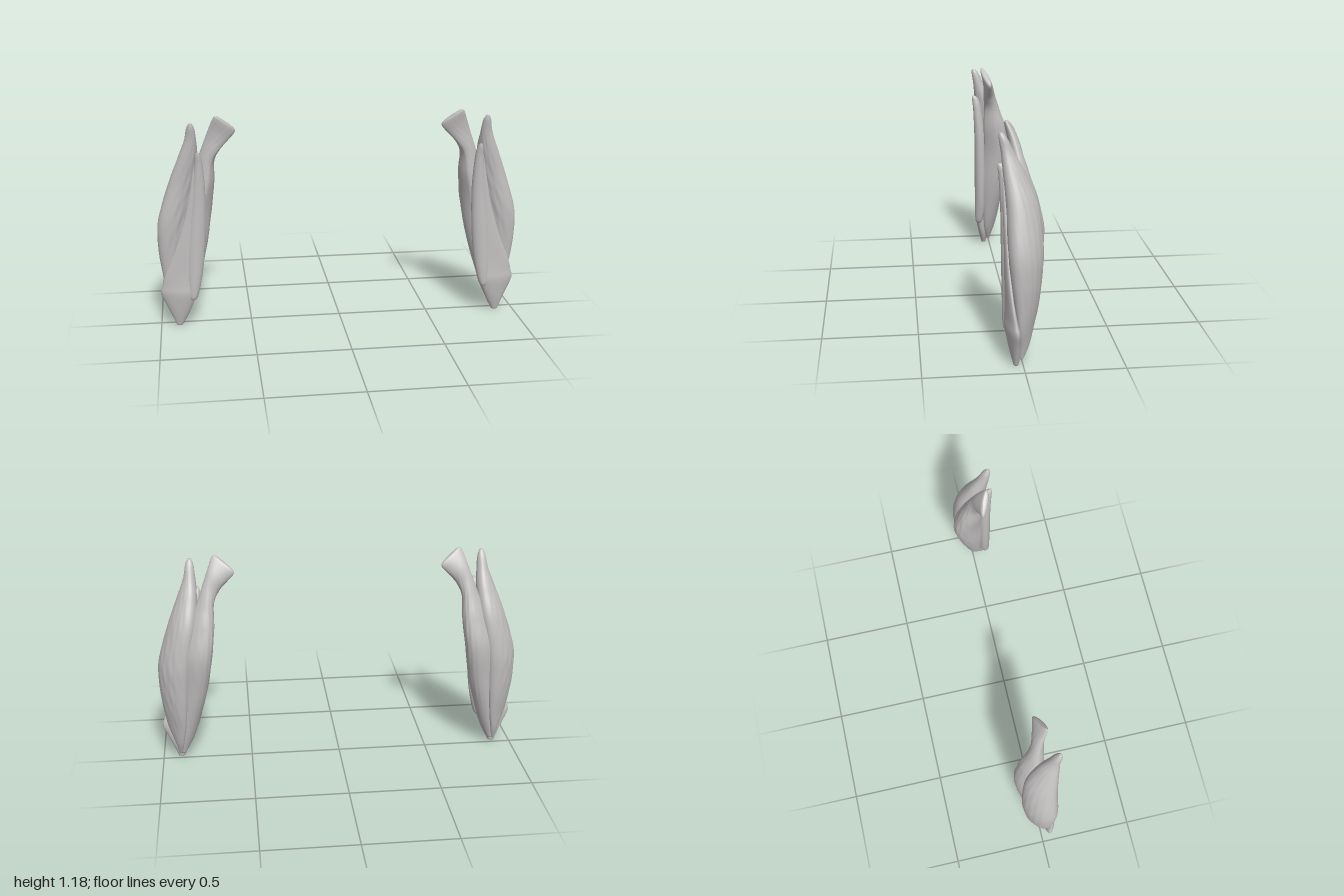
import * as THREE from 'three';

// Every row is one cross-section, from bottom to top:
// [y, x and z of chord start, x and z of chord end, bulge, opposite bulge, tilt]
const PARTS = {
  // outer belly, chord runs from the back edge to the outer front edge
  outerMuscle: { fibre: 0.035, rows: [
    [0.03, 0.895, 0, 0.905, 0.015, 0.01, 0.008, 0],
    [0.1, 0.883, -0.028, 0.925, 0.015, 0.018, 0.015, 0],
    [0.2, 0.867, -0.052, 0.96, 0.022, 0.025, 0.03, 0],
    [0.32, 0.855, -0.07, 0.978, 0.033, 0.043, 0.05, 0],
    [0.45, 0.845, -0.08, 0.988, 0.045, 0.058, 0.065, 0],
    [0.6, 0.832, -0.088, 0.98, 0.055, 0.064, 0.08, 0],
    [0.8, 0.8, -0.072, 0.918, 0.062, 0.058, 0.076, 0],
    [0.95, 0.785, -0.015, 0.863, 0.077, 0.042, 0.056, 0],
    [1.05, 0.787, 0.035, 0.826, 0.09, 0.027, 0.037, 0],
    [1.12, 0.79, 0.067, 0.806, 0.106, 0.024, 0.02, 0],
    [1.15, 0.795, 0.088, 0.802, 0.106, 0.009, 0.008, 0],
  ] },
  // inner belly ending in a flared, slanted tendon at the top
  innerMuscle: { fibre: 0.025, rows: [
    [0.03, 0.875, 0.015, 0.895, 0, 0.012, 0.01, 0],
    [0.12, 0.83, 0.03, 0.88, -0.025, 0.024, 0.02, 0],
    [0.24, 0.798, 0.035, 0.875, -0.042, 0.048, 0.03, 0],
    [0.43, 0.765, 0.04, 0.865, -0.058, 0.09, 0.035, 0],
    [0.64, 0.74, 0.03, 0.85, -0.073, 0.114, 0.04, 0],
    [0.8, 0.71, 0.035, 0.81, -0.05, 0.095, 0.035, 0],
    [0.92, 0.693, 0.032, 0.768, -0.022, 0.062, 0.03, 0.1],
    [1.0, 0.65, 0.03, 0.738, 0, 0.04, 0.028, 0.3],
    [1.07, 0.602, 0.02, 0.706, 0.03, 0.032, 0.024, 0.6],
    [1.13, 0.563, 0.015, 0.676, 0.06, 0.02, 0.018, 0.75],
    [1.15, 0.587, 0.025, 0.658, 0.056, 0.008, 0.008, 0.75],
  ] },
  // slim column on the front
  middleMuscle: { fibre: 0, rows: [
    [0.155, 0.808, 0.07, 0.83, 0.07, 0.012, 0.012, 0],
    [0.18, 0.792, 0.066, 0.842, 0.068, 0.02, 0.024, 0],
    [0.25, 0.774, 0.06, 0.848, 0.065, 0.03, 0.031, 0],
    [0.35, 0.756, 0.058, 0.85, 0.062, 0.03, 0.034, 0],
    [0.5, 0.742, 0.06, 0.838, 0.062, 0.035, 0.035, 0],
    [0.72, 0.733, 0.065, 0.812, 0.066, 0.035, 0.031, 0],
    [0.9, 0.74, 0.08, 0.79, 0.08, 0.028, 0.023, 0],
    [0.97, 0.75, 0.09, 0.783, 0.09, 0.02, 0.02, 0],
    [0.992, 0.76, 0.1, 0.774, 0.1, 0.008, 0.01, 0],
  ] },
  // flat sheet that widens to a corner and narrows to the foot
  frontTendon: { fibre: 0, rows: [
    [0, 0.882, 0.035, 0.916, 0.035, 0.014, 0.012, 0],
    [0.06, 0.85, 0.045, 0.94, 0.035, 0.028, 0.022, 0],
    [0.12, 0.826, 0.06, 0.966, 0.035, 0.03, 0.025, 0],
    [0.19, 0.803, 0.073, 0.994, 0.034, 0.028, 0.028, 0],
    [0.24, 0.8, 0.075, 0.983, 0.042, 0.025, 0.022, 0],
    [0.31, 0.795, 0.075, 0.963, 0.052, 0.022, 0.017, 0],
    [0.45, 0.79, 0.075, 0.905, 0.065, 0.022, 0.014, 0],
    [0.64, 0.785, 0.075, 0.845, 0.072, 0.02, 0.012, 0],
    [0.85, 0.77, 0.08, 0.803, 0.08, 0.012, 0.01, 0],
    [0.95, 0.77, 0.083, 0.785, 0.083, 0.006, 0.006, 0],
  ] },
};

// smooth blend of the rows at position t (in row units)
function sampleRow(rows, t) {
  const i = Math.min(Math.floor(t), rows.length - 2);
  const f = t - i;
  const row = (k) => rows[THREE.MathUtils.clamp(k, 0, rows.length - 1)];
  const [a, b, c, d] = [row(i - 1), row(i), row(i + 1), row(i + 2)];
  return b.map((v, k) => v + 0.5 * f * (c[k] - a[k]
    + f * (2 * a[k] - 5 * v + 4 * c[k] - d[k] + f * (3 * (v - c[k]) + d[k] - a[k]))));
}

// closed, smooth skin over the rows; side is 1 or -1 for the mirrored copy
function loft({ rows, fibre }, side) {
  const N = 72, STEPS = (rows.length - 1) * 8;
  const pos = [], idx = [];
  const tri = (a, b, c) => (side > 0 ? idx.push(a, b, c) : idx.push(a, c, b));
  for (let s = 0; s <= STEPS; s++) {
    const [y, px, pz, qx, qz, bulge, back, tilt] = sampleRow(rows, s / 8);
    const mx = (px + qx) / 2, mz = (pz + qz) / 2;
    const hx = (qx - px) / 2, hz = (qz - pz) / 2, len = Math.hypot(hx, hz);
    const fade = Math.sin(Math.PI * s / STEPS);
    for (let j = 0; j < N; j++) {
      const th = (j / N) * Math.PI * 2, c = Math.cos(th), sn = Math.sin(th);
      // fine slanted fibre ripples
      const r = 1 + fibre * fade * Math.sin(14 * th + 24 * y) * Math.sin(3 * th - 17 * y);
      const w = sn * (sn > 0 ? bulge : back) * r / len;
      const x = mx + hx * c + hz * w, z = mz + hz * c - hx * w;
      pos.push(side * x, y + tilt * (x - mx), z);
      if (s < STEPS) {
        const a = s * N + j, b = s * N + (j + 1) % N;
        tri(a, b, b + N);
        tri(a, b + N, a + N);
      }
    }
  }
  // end caps
  for (const s of [0, STEPS]) {
    const [y, px, pz, qx, qz] = sampleRow(rows, s / 8);
    const centre = pos.length / 3;
    pos.push(side * (px + qx) / 2, y, (pz + qz) / 2);
    for (let j = 0; j < N; j++) {
      const a = s * N + j, b = s * N + (j + 1) % N;
      if (s) tri(centre, a, b); else tri(centre, b, a);
    }
  }
  const geo = new THREE.BufferGeometry();
  geo.setAttribute('position', new THREE.Float32BufferAttribute(pos, 3));
  geo.setIndex(idx);
  geo.computeVertexNormals();
  return geo;
}

export function createModel() {
  const model = new THREE.Group();
  model.name = 'upperArmMuscles';
  const grey = new THREE.MeshStandardMaterial({ color: 0xc2bfbf });
  grey.name = 'paleGrey';
  for (const [label, side] of [['left', 1], ['right', -1]]) {
    const arm = new THREE.Group();
    arm.name = `${label}Arm`;
    for (const [name, part] of Object.entries(PARTS)) {
      const mesh = new THREE.Mesh(loft(part, side), grey);
      mesh.name = name;
      arm.add(mesh);
    }
    model.add(arm);
  }
  return model;
}
